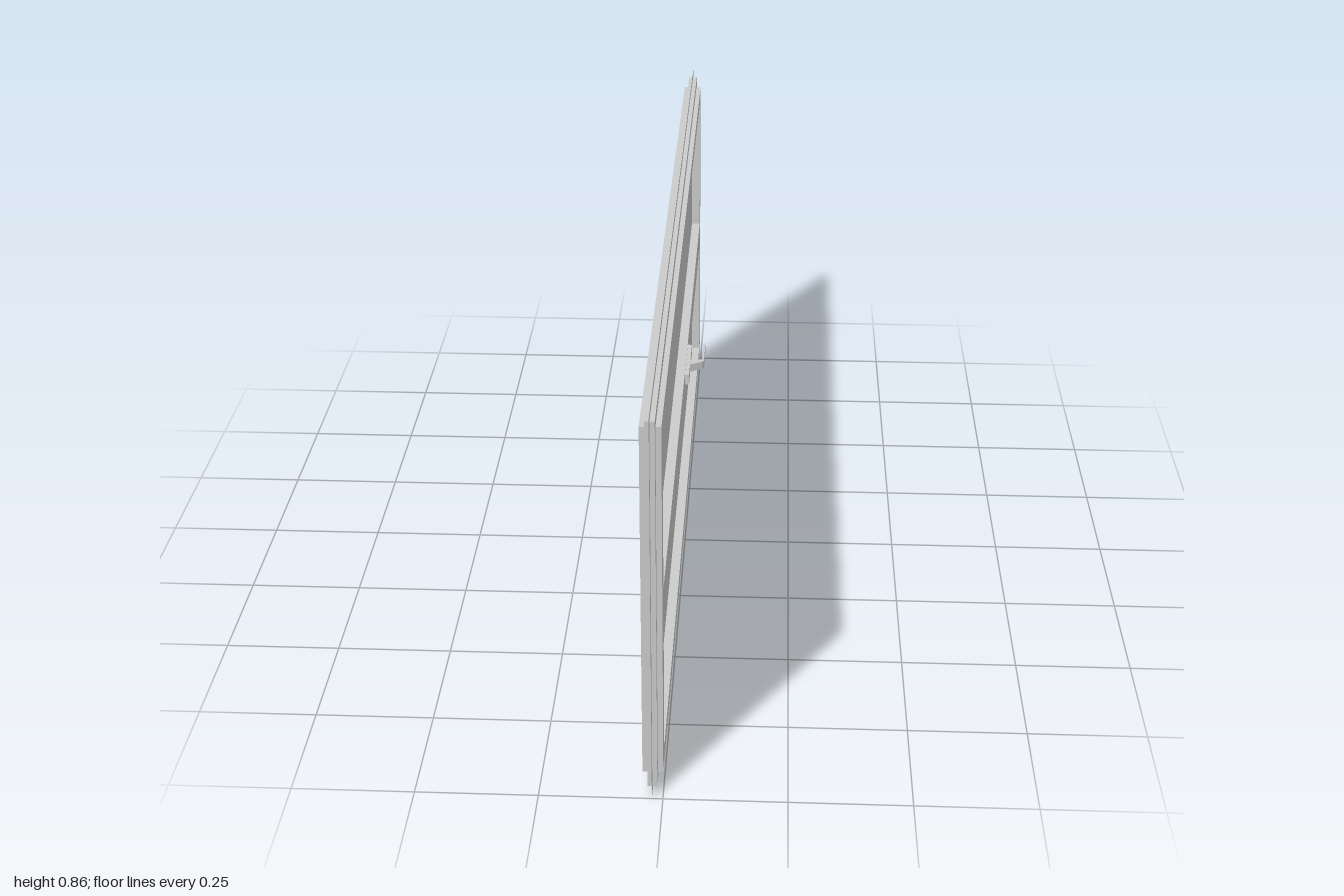
import * as THREE from 'three';

const material = new THREE.MeshStandardMaterial({ color: 0xcccccc, flatShading: true });
const MID = -0.022; // centre plane of the window in x

function add(group, name, geometry, mat = material) {
  const mesh = new THREE.Mesh(geometry, mat);
  mesh.name = name;
  group.add(mesh);
  return mesh;
}

function rect(path, halfZ, y0, y1) {
  path.moveTo(-halfZ, y0);
  path.lineTo(halfZ, y0);
  path.lineTo(halfZ, y1);
  path.lineTo(-halfZ, y1);
  path.closePath();
  return path;
}

// Rectangular ring in the zy plane, its thickness centred on MID
function ring(outer, inner, thickness) {
  const shape = rect(new THREE.Shape(), ...outer);
  shape.holes.push(rect(new THREE.Path(), ...inner));
  return new THREE.ExtrudeGeometry(shape, { depth: thickness, bevelEnabled: false })
    .rotateY(Math.PI / 2)
    .translate(MID - thickness / 2, 0, 0);
}

export function createModel() {
  const model = new THREE.Group();
  model.name = 'window';

  // Thin central sheet: glass panes and the outer flange
  const sheetMaterial = material.clone();
  sheetMaterial.side = THREE.DoubleSide;
  add(model, 'glassSheet',
    new THREE.PlaneGeometry(2, 0.858).rotateY(Math.PI / 2).translate(MID, 0.429, 0), sheetMaterial);

  // Stepped outer frame and the two sashes
  add(model, 'outerFrame', ring([0.981, 0.016, 0.843], [0.962, 0.037, 0.822], 0.02));
  add(model, 'upperSash', ring([0.962, 0.413, 0.822], [0.923, 0.446, 0.792], 0.042));
  add(model, 'lowerSash', ring([0.962, 0.037, 0.413], [0.923, 0.071, 0.38], 0.042));

  // Handle: base plate and bent lever
  const handle = new THREE.Group();
  handle.name = 'handle';
  add(handle, 'handlePlate', new THREE.BoxGeometry(0.01, 0.025, 0.162).translate(0.004, 0.43, -0.091));

  const lever = new THREE.Shape([
    [0.008, 0.07], [0.036, 0.086], [0.041, 0.092], [0.041, 0.187],
    [0.037, 0.187], [0.037, 0.098], [0.008, 0.098],
  ].map(([x, y]) => new THREE.Vector2(x, y)));
  add(handle, 'handleLever',
    new THREE.ExtrudeGeometry(lever, { depth: 0.019, bevelEnabled: false })
      .rotateX(-Math.PI / 2)
      .translate(0, 0.421, 0));
  model.add(handle);

  return model;
}
